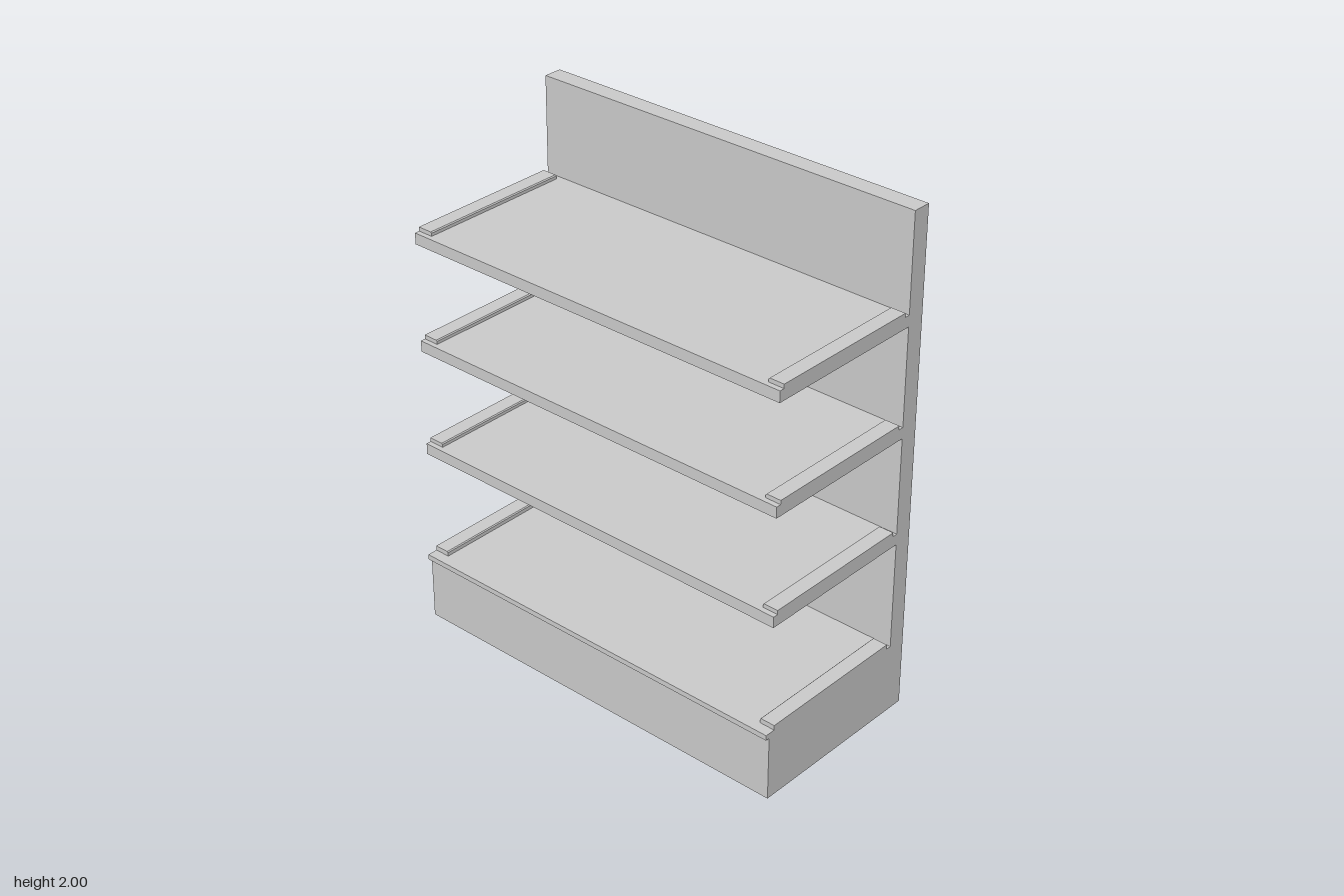
import * as THREE from 'three';

const W = 1.65;            // full width
const BACK = -0.38;        // rear of the unit
const PANEL_FRONT = -0.307; // front face of the back panel

export function createModel() {
  const model = new THREE.Group();
  model.name = 'displayShelving';
  const material = new THREE.MeshStandardMaterial({ color: 0xcccccc, flatShading: true });
  const sheet = new THREE.MeshStandardMaterial({ color: 0xcccccc, flatShading: true, side: THREE.DoubleSide });

  // Box spanning the full width, given by its height and depth limits
  function slab(name, y0, y1, z0, z1, mat = material) {
    const mesh = new THREE.Mesh(new THREE.BoxGeometry(W, y1 - y0, z1 - z0), mat);
    mesh.position.set(0, (y0 + y1) / 2, (z0 + z1) / 2);
    mesh.name = name;
    return mesh;
  }

  // Raised side rail: low profile with a chamfered inner edge, run front to back
  function rail(name, side, y, h) {
    const x = W / 2, inner = 0.762, c = 0.004;
    const points = [[x, 0], [x, h], [inner + c, h], [inner, h - c], [inner, 0]]
      .map(([px, py]) => new THREE.Vector2(px * side, py));
    const geometry = new THREE.ExtrudeGeometry(new THREE.Shape(points), { depth: 0.626, bevelEnabled: false });
    const mesh = new THREE.Mesh(geometry, material);
    mesh.position.set(0, y, -0.286);
    mesh.name = name;
    return mesh;
  }

  // Shelf board with a rail at each end
  function shelf(name, y0, y1, front, railHeight) {
    const group = new THREE.Group();
    group.name = name;
    group.add(slab('board', y0, y1, PANEL_FRONT, front));
    group.add(rail('leftRail', 1, y1, railHeight), rail('rightRail', -1, y1, railHeight));
    return group;
  }

  // Hollow plinth: four thin walls, open underneath
  const plinth = slab('plinth', 0, 0.26, BACK, 0.366, sheet);
  const index = Array.from(plinth.geometry.index.array);
  index.splice(12, 12); // drop the top and bottom faces
  plinth.geometry.setIndex(index);
  plinth.geometry.clearGroups();
  model.add(plinth);

  // Back panel above the plinth
  model.add(slab('backPanel', 0.26, 2, BACK, PANEL_FRONT));

  // Base deck with its overhanging lip, then the three upper shelves
  model.add(shelf('baseDeck', 0.26, 0.281, 0.382, 0.019));
  [0.715, 1.145, 1.575].forEach((y, i) =>
    model.add(shelf(`shelf${i + 1}`, y, y + 0.044, 0.36, 0.016)));

  return model;
}
